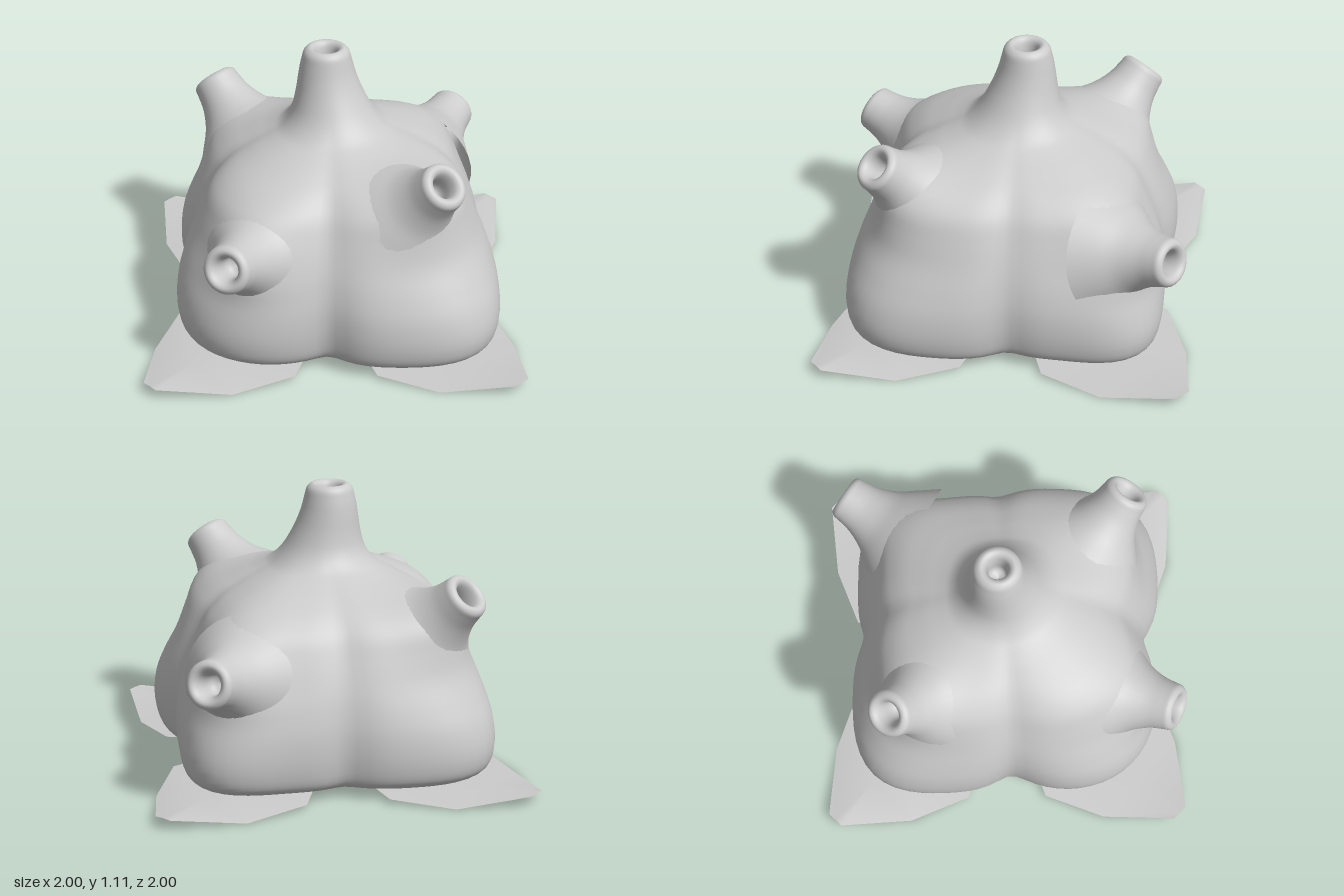
import * as THREE from 'three';

const material = new THREE.MeshStandardMaterial({ color: 0xcccccc, side: THREE.DoubleSide });

// Four lobes along +x, +z, -x, -z: reach and flattening of the flanks
const lobes = [[0.8, 0.035], [0.73, 0.005], [0.77, 0.035], [0.76, 0.05]];

// Side spouts: centre of the mouth and outward direction
const spouts = [
  { name: 'leftSpout', tip: [0.642, 0.79, 0.065], dir: [0.69, 0.71, 0.04] },
  { name: 'rightSpout', tip: [-0.663, 0.765, 0.02], dir: [-0.71, 0.69, 0.0] },
  { name: 'frontSpout', tip: [0.185, 0.535, 0.765], dir: [0.33, 0.3, 0.88] },
  { name: 'backSpout', tip: [-0.08, 0.527, -0.825], dir: [-0.2, 0.26, -0.94] },
].map((s) => ({
  name: s.name,
  tip: new THREE.Vector3(...s.tip),
  dir: new THREE.Vector3(...s.dir).normalize(),
}));

// Outline of the four lobes, joined by a smooth maximum
function lobeRadius(a) {
  const k = 0.04;
  const sum = lobes.reduce((t, [r, cut], i) => {
    const d = a - i * Math.PI / 2;
    return t + Math.exp((r * Math.cos(d) - cut * Math.sin(4 * d) ** 2) / k);
  }, 0);
  return k * Math.log(sum);
}

// Lobed body rising into the top spout, lofted from rings
function makeBody() {
  // relative radius, height, lobe strength
  const rows = [
    [0, 0.06, 1], [0.5, 0.05, 1], [0.83, 0.038, 1], [0.93, 0.046, 1], [0.98, 0.08, 1],
    [1, 0.15, 0.98], [0.98, 0.25, 0.9], [0.92, 0.35, 0.78], [0.845, 0.45, 0.68], [0.795, 0.54, 0.72],
    [0.745, 0.62, 0.8], [0.66, 0.675, 0.8], [0.5, 0.73, 0.65], [0.36, 0.77, 0.42],
    [0.27, 0.805, 0.2], [0.205, 0.865, 0.05], [0.168, 0.935, 0], [0.145, 1.0, 0],
    [0.127, 1.06, 0], [0.113, 1.095, 0], [0.085, 1.11, 0], [0.06, 1.098, 0],
    [0.048, 1.06, 0], [0.042, 1.0, 0], [0, 0.98, 0],
  ];
  const curve = new THREE.CatmullRomCurve3(rows.map((r) => new THREE.Vector3(...r)), false, 'centripetal');
  const N = 96, M = 96, pos = [], idx = [];
  const p = new THREE.Vector3(), base = new THREE.Vector3();
  for (let j = 0; j <= M; j++) {
    const c = curve.getPoint(j / M);
    const s = Math.max(0, c.x), w = THREE.MathUtils.clamp(c.z, 0, 1);
    const lean = -0.035 * THREE.MathUtils.smoothstep(c.y, 0.78, 1.05);
    for (let i = 0; i < N; i++) {
      const a = (i / N) * Math.PI * 2;
      const r = s * THREE.MathUtils.lerp(0.77, lobeRadius(a), w);
      p.set(Math.cos(a) * r + lean, c.y, Math.sin(a) * r);
      // Swell the skin towards each side spout
      const fade = THREE.MathUtils.smoothstep(c.y, 0.2, 0.4) * (1 - THREE.MathUtils.smoothstep(c.y, 0.74, 0.84));
      for (const sp of spouts) {
        base.copy(sp.tip).addScaledVector(sp.dir, -0.2);
        const d = p.distanceTo(base);
        p.addScaledVector(sp.dir, 0.06 * fade * Math.exp(-(d * d) / 0.022));
      }
      pos.push(p.x, p.y, p.z);
      if (j < M) {
        const k = j * N + i, n = j * N + ((i + 1) % N);
        idx.push(k, k + N, n, n, k + N, n + N);
      }
    }
  }
  const g = new THREE.BufferGeometry();
  g.setAttribute('position', new THREE.Float32BufferAttribute(pos, 3));
  g.setIndex(idx);
  g.computeVertexNormals();
  return g;
}

// Flared tube with a rounded lip and a blind hole, mouth at the origin
function makeSpout() {
  const pts = [
    [0.25, -0.31], [0.19, -0.235], [0.14, -0.17], [0.108, -0.1], [0.096, -0.04],
    [0.091, -0.008], [0.072, 0.006], [0.052, -0.006], [0.042, -0.04], [0.036, -0.1], [0.001, -0.12],
  ].map(([r, y]) => new THREE.Vector2(r, y));
  return new THREE.LatheGeometry(new THREE.SplineCurve(pts).getPoints(36), 32);
}

// Thin leaf along +x with a raised midrib
function makeLeaf() {
  // distance, half width, midrib height, edge height
  const rows = [
    [0.11, 0.04, 0.045, 0.042], [0.32, 0.215, 0.04, 0.03], [0.55, 0.325, 0.038, 0.02],
    [0.78, 0.22, 0.035, 0], [1, 0.035, 0.045, 0.043],
  ];
  const pos = [], idx = [];
  rows.forEach(([x, h, ym, ye], j) => {
    pos.push(x, ye, -h, x, ym, 0, x, ye, h);
    if (j === rows.length - 1) return;
    for (let i = 0; i < 2; i++) {
      const k = j * 3 + i;
      idx.push(k, k + 1, k + 3, k + 1, k + 4, k + 3);
    }
  });
  const g = new THREE.BufferGeometry();
  g.setAttribute('position', new THREE.Float32BufferAttribute(pos, 3));
  g.setIndex(idx);
  g.computeVertexNormals();
  return g;
}

export function createModel() {
  const model = new THREE.Group();
  const add = (geometry, name) => {
    const mesh = new THREE.Mesh(geometry, material);
    mesh.name = name;
    model.add(mesh);
    return mesh;
  };

  add(makeBody(), 'body');

  const spoutGeometry = makeSpout();
  const up = new THREE.Vector3(0, 1, 0);
  for (const s of spouts) {
    const mesh = add(spoutGeometry, s.name);
    mesh.position.copy(s.tip);
    mesh.quaternion.setFromUnitVectors(up, s.dir);
  }

  // Four leaves under the lobes
  const leafGeometry = makeLeaf();
  ['leftLeaf', 'backLeaf', 'rightLeaf', 'frontLeaf'].forEach((name, i) => {
    add(leafGeometry, name).rotation.y = i * Math.PI / 2;
  });
  return model;
}
